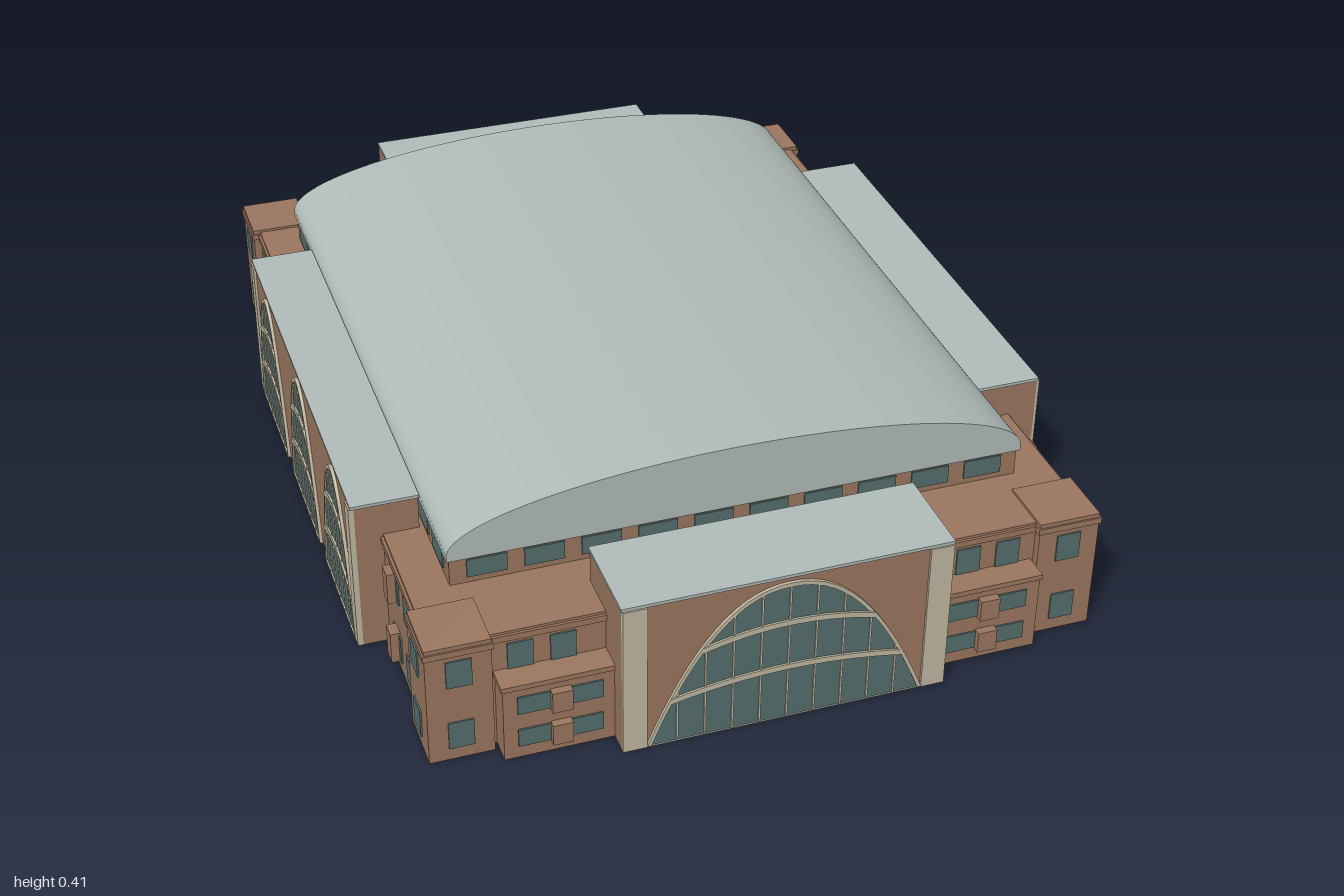
import * as THREE from 'three';

const flat = (name, color) => {
  const m = new THREE.MeshStandardMaterial({ color });
  m.name = name;
  return m;
};

export function createModel() {
  const brick = flat('brick', 0x9c7760);
  const metal = flat('roofMetal', 0xb2bdba);
  const glass = flat('glass', 0x566f6f);
  const trim = flat('trim', 0xc4baa2);

  const model = new THREE.Group();
  model.name = 'arena';
  const hall = new THREE.Group();
  hall.name = 'hall';
  hall.rotation.y = 0.614;
  model.add(hall);

  const add = (parent, name, geometry, material) => {
    const mesh = new THREE.Mesh(geometry, material);
    mesh.name = name;
    parent.add(mesh);
    return mesh;
  };
  // Box given by its centre in x and z and its bottom in y
  const box = (parent, name, mat, w, h, d, x, y, z) => {
    const mesh = add(parent, name, new THREE.BoxGeometry(w, h, d), mat);
    mesh.position.set(x, y + h / 2, z);
    return mesh;
  };

  // Main body, corner towers and cornices
  box(hall, 'mainBody', brick, 1.196, 0.235, 1.536, 0, 0, 0);
  box(hall, 'cornice', brick, 1.206, 0.012, 1.546, 0, 0.218, 0);
  for (const sx of [-1, 1]) for (const sz of [-1, 1]) {
    box(hall, 'cornerTower', brick, 0.115, 0.24, 0.115, sx * 0.555, 0, sz * 0.727);
    box(hall, 'towerCornice', brick, 0.121, 0.012, 0.121, sx * 0.555, 0.22, sz * 0.727);
  }

  // Clerestory under the vaulted roof
  box(hall, 'clerestory', brick, 1.05, 0.07, 1.24, 0, 0.23, 0);
  box(hall, 'roofEdge', metal, 1.06, 0.012, 1.25, 0, 0.288, 0);
  const vault = new THREE.CylinderGeometry(0.53, 0.53, 1.25, 64, 1, false, -Math.PI / 2, Math.PI);
  vault.rotateX(-Math.PI / 2);
  vault.scale(1, 0.113 / 0.53, 1);
  add(hall, 'vaultedRoof', vault, metal).position.y = 0.299;

  // Arch outline: height at offset x for half width w and height h
  const archY = (x, w, h) => h * (1 - Math.pow(Math.min(1, Math.abs(x) / w), 2.2));
  const archShape = (w, h) => {
    const s = new THREE.Shape();
    for (let i = 0; i <= 40; i++) {
      const x = w * Math.cos(Math.PI * i / 40);
      if (i) s.lineTo(x, archY(x, w, h)); else s.moveTo(x, 0);
    }
    return s;
  };
  // Strip that follows a curve, between two height functions
  const strip = (x0, x1, low, high) => {
    const s = new THREE.Shape();
    const n = 16, at = (i) => x0 + (x1 - x0) * i / n;
    s.moveTo(x0, low(x0));
    for (let i = 1; i <= n; i++) s.lineTo(at(i), low(at(i)));
    for (let i = n; i >= 0; i--) s.lineTo(at(i), high(at(i)));
    return s;
  };
  const plate = (parent, name, shape, mat, z, depth) => {
    const g = new THREE.ExtrudeGeometry(shape, { depth, bevelEnabled: false });
    const m = add(parent, name, g, mat);
    m.position.z = z;
    return m;
  };

  // Tall glazed arch with frame, mullions and two curved bands
  const archWindow = (parent, cx, z, w, h, mullions) => {
    const g = new THREE.Group();
    g.name = 'archWindow';
    g.position.set(cx, 0.002, z);
    parent.add(g);
    plate(g, 'archGlass', archShape(w, h), glass, 0, 0.003);
    const frame = archShape(w + 0.004, h + 0.004);
    frame.holes.push(archShape(w - 0.003, h - 0.004));
    plate(g, 'archFrame', frame, trim, 0, 0.006);
    for (let i = 1; i <= mullions; i++) {
      const x = w * (2 * i / (mullions + 1) - 1);
      const top = archY(x, w, h);
      box(g, 'mullion', trim, 0.0035, top, 0.005, x, 0, 0.0025);
    }
    for (const y of [0.105, 0.2]) {
      const reach = w * Math.pow(1 - (y - 0.016) / h, 1 / 2.2);
      const low = (x) => y - 0.022 * (x / reach) ** 2;
      plate(g, 'archBand', strip(-reach, reach, low, (x) => low(x) + 0.011), trim, 0, 0.007);
    }
  };

  const rows = [0.025, 0.155];
  const windowAt = (parent, x, y, z, w = 0.045, h = 0.055) =>
    box(parent, 'window', glass, w, h, 0.006, x, y, z);
  // Window with a small boxed brick bay in front of it
  const bayAt = (parent, x, y, z, w = 0.055) => {
    windowAt(parent, x, y, z, w, 0.055);
    box(parent, 'bay', brick, 0.03, 0.062, 0.024, x, y - 0.002, z + 0.006);
  };

  // One side of the building; local +z points outwards
  const facade = (name, angle, o) => {
    const f = new THREE.Group();
    f.name = name;
    f.rotation.y = angle;
    hall.add(f);
    const depth = o.front - o.back;
    box(f, 'entranceBlock', brick, o.half * 2, 0.3, depth, 0, 0, (o.front + o.back) / 2);
    box(f, 'entranceRoof', metal, o.half * 2 + 0.004, 0.006, depth + 0.004, 0, 0.299, (o.front + o.back) / 2);
    for (const s of [-1, 1]) {
      box(f, 'pilaster', trim, o.pilaster, 0.299, 0.01, s * (o.half - o.pilaster / 2), 0, o.front);
      for (const y of rows) {
        windowAt(f, s * o.tower, y, o.towerFace);
        for (const x of o.windows) windowAt(f, s * x, y, o.wall);
        for (const x of o.bays) bayAt(f, s * x, y, o.wall);
      }
    }
    for (const x of o.arches) archWindow(f, x, o.front, o.archHalf, 0.285, o.mullions);
    // Clerestory windows
    for (let i = 0; i < o.upperCount; i++) {
      const x = o.upperHalf * ((2 * i + 1) / o.upperCount - 1);
      box(f, 'clerestoryWindow', glass, o.upperHalf * 1.4 / o.upperCount, 0.036, 0.006, x, 0.247, o.upperFace);
    }
    return f;
  };

  const end = {
    half: 0.295, back: 0.68, front: 0.855, pilaster: 0.043, wall: 0.768, tower: 0.555, towerFace: 0.7845,
    windows: [], bays: [0.37, 0.445], arches: [0], archHalf: 0.248, mullions: 9,
    upperCount: 10, upperHalf: 0.51, upperFace: 0.62,
  };
  const side = {
    half: 0.443, back: 0.533, front: 0.652, pilaster: 0.03, wall: 0.598, tower: 0.72, towerFace: 0.6125,
    windows: [0.61], bays: [0.52], arches: [-0.298, 0, 0.298], archHalf: 0.122, mullions: 5,
    upperCount: 12, upperHalf: 0.6, upperFace: 0.525,
  };
  const front = facade('frontEnd', 0, { ...end, bays: [], windows: [0.37, 0.445] });
  facade('backEnd', Math.PI, end);
  facade('leftSide', Math.PI / 2, side);
  facade('rightSide', -Math.PI / 2, side);

  // Low annexes beside the front entrance
  for (const s of [-1, 1]) {
    box(front, 'annex', brick, 0.2, 0.15, 0.06, s * 0.39, 0, 0.785);
    box(front, 'annexCornice', brick, 0.206, 0.01, 0.066, s * 0.39, 0.147, 0.785);
    for (const y of [0.025, 0.095]) {
      windowAt(front, s * 0.39, y, 0.815, 0.15, 0.036);
      box(front, 'annexBay', brick, 0.036, 0.042, 0.02, s * 0.39, y - 0.003, 0.82);
    }
  }
  return model;
}
